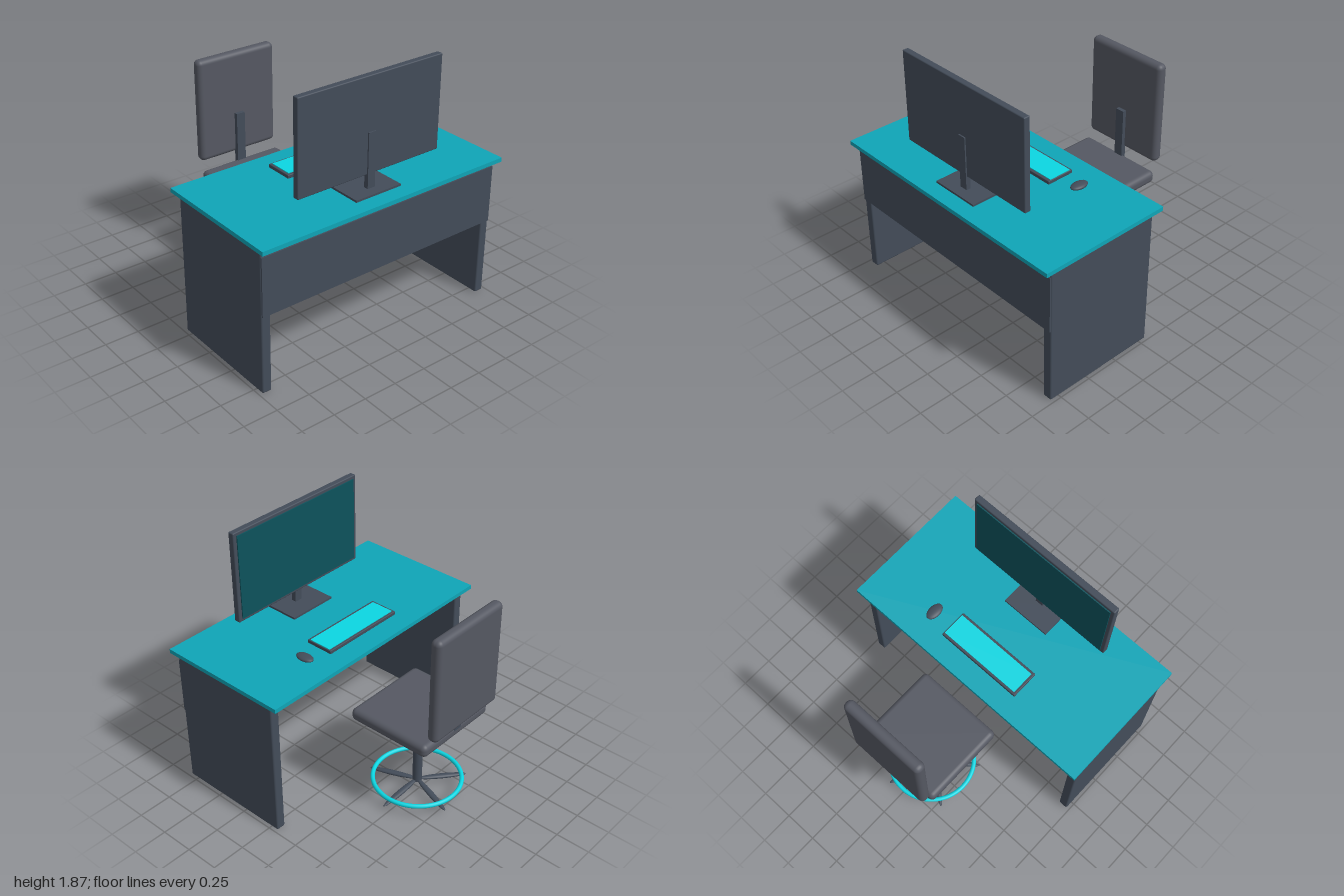
import * as THREE from 'three';
import { RoundedBoxGeometry } from 'three/addons/geometries/RoundedBoxGeometry.js';

const mat = (color) => new THREE.MeshStandardMaterial({ color });

export function createModel() {
  const slate = mat(0x434c59), cushion = mat(0x555862), teal = mat(0x0fa5b7);
  const cyan = mat(0x0cd6e2), screenTeal = mat(0x0d525c);

  const add = (parent, name, geometry, material, x = 0, y = 0, z = 0) => {
    const mesh = new THREE.Mesh(geometry, material);
    mesh.name = name;
    mesh.position.set(x, y, z);
    parent.add(mesh);
    return mesh;
  };
  // Box given by its limits on each axis, optionally with rounded edges
  const block = (parent, name, material, [x0, x1], [y0, y1], [z0, z1], radius = 0) => {
    const size = [x1 - x0, y1 - y0, z1 - z0];
    const geometry = radius
      ? new RoundedBoxGeometry(...size, 4, radius)
      : new THREE.BoxGeometry(...size);
    return add(parent, name, geometry, material, (x0 + x1) / 2, (y0 + y1) / 2, (z0 + z1) / 2);
  };
  const group = (parent, name) => {
    const g = new THREE.Group();
    g.name = name;
    parent.add(g);
    return g;
  };

  const model = new THREE.Group();
  model.name = 'deskWithChair';

  // Desk: top, two side panels and a modesty panel across their front
  const desk = group(model, 'desk');
  block(desk, 'deskTop', teal, [-1, 1], [1.046, 1.077], [-0.128, 0.878]);
  block(desk, 'leftSidePanel', slate, [0.907, 0.977], [0, 1.03], [-0.06, 0.82], 0.012);
  block(desk, 'rightSidePanel', slate, [-0.977, -0.907], [0, 1.03], [-0.06, 0.82], 0.012);
  block(desk, 'modestyPanel', slate, [-0.972, 0.972], [0.577, 1.0], [0.79, 0.828]);

  // Monitor, its screen facing the chair
  const monitor = group(model, 'monitor');
  block(monitor, 'monitorCase', slate, [-0.585, 0.585], [1.19, 1.87], [0.628, 0.675], 0.008);
  block(monitor, 'screen', screenTeal, [-0.557, 0.557], [1.215, 1.845], [0.62, 0.64]);
  block(monitor, 'monitorNeck', slate, [-0.03, 0.03], [1.085, 1.487], [0.65, 0.685]);
  block(monitor, 'monitorBase', slate, [-0.187, 0.187], [1.077, 1.092], [0.507, 0.76]);

  // Keyboard and mouse
  block(model, 'keyboardBody', slate, [-0.33, 0.33], [1.077, 1.104], [0.028, 0.24], 0.005);
  block(model, 'keyboardKeys', cyan, [-0.312, 0.324], [1.09, 1.109], [0.045, 0.22]);
  add(model, 'mouse', new THREE.SphereGeometry(1, 24, 16), slate, 0.485, 1.096, 0.115)
    .scale.set(0.042, 0.019, 0.07);

  // Chair: cushions, bracket, post, foot ring and five spokes
  const chair = group(model, 'chair');
  block(chair, 'seat', cushion, [-0.34, 0.34], [0.63, 0.725], [-0.802, -0.153], 0.038);
  block(chair, 'backrest', cushion, [-0.328, 0.328], [0.785, 1.565], [-0.878, -0.795], 0.036);
  block(chair, 'backBracket', slate, [-0.035, 0.035], [0.69, 1.1], [-0.803, -0.766]);
  add(chair, 'post', new THREE.CylinderGeometry(0.034, 0.034, 0.59, 24), slate, 0, 0.36, -0.477);
  add(chair, 'footRing', new THREE.TorusGeometry(0.315, 0.016, 12, 64), cyan, 0, 0.092, -0.477)
    .rotation.x = Math.PI / 2;
  const spokeGeometry = new THREE.SphereGeometry(1, 24, 14);
  spokeGeometry.scale(0.18, 0.015, 0.023).rotateZ(-0.06).translate(0.181, 0.062, 0);
  for (let i = 0; i < 5; i++) {
    add(chair, 'spoke' + (i + 1), spokeGeometry, slate, 0, 0, -0.477).rotation.y = (i * 2 * Math.PI) / 5;
  }
  return model;
}
